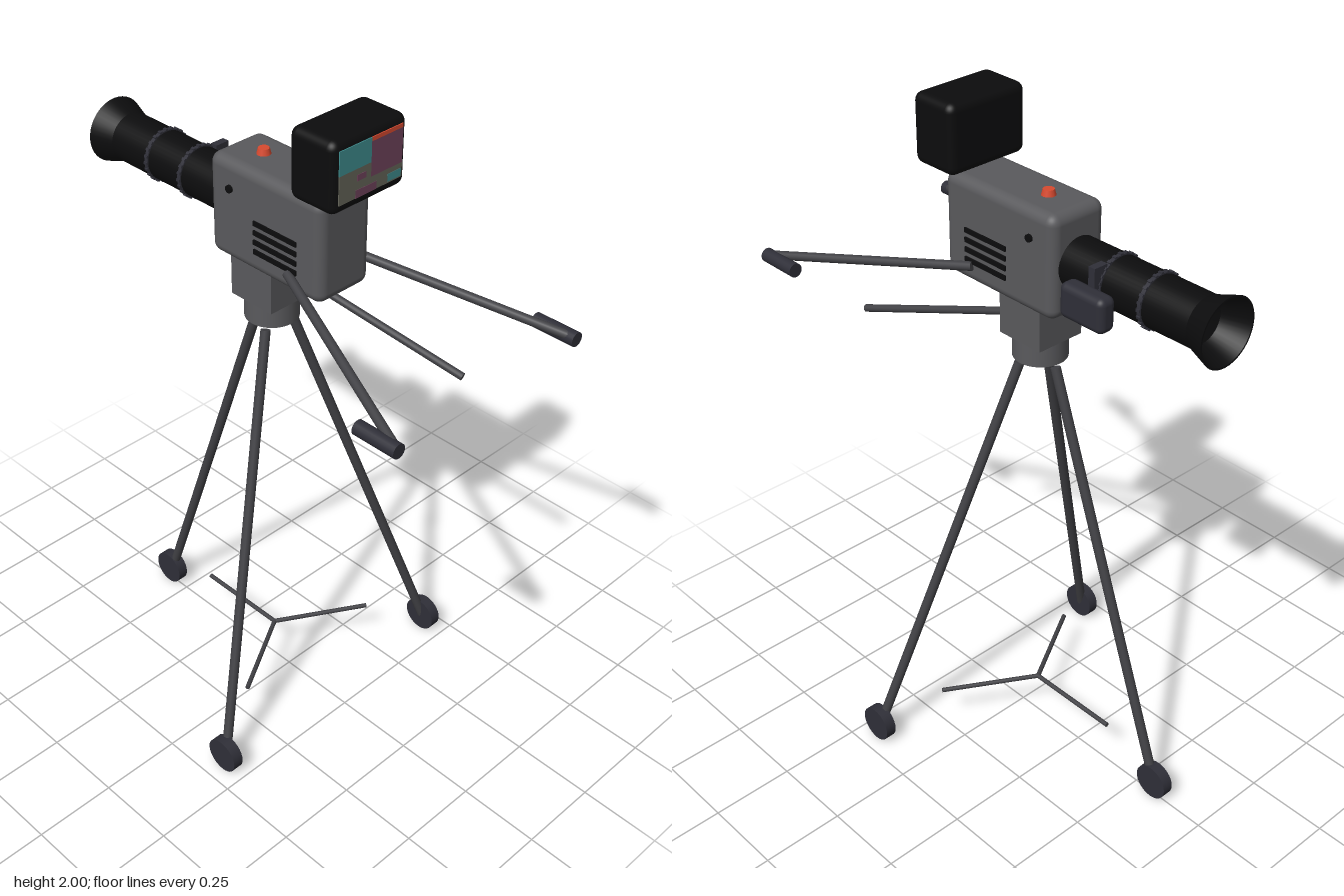
import * as THREE from 'three';
import { RoundedBoxGeometry } from 'three/addons/geometries/RoundedBoxGeometry.js';

const paint = (name, color, side = THREE.FrontSide) => {
  const m = new THREE.MeshStandardMaterial({ color, side });
  m.name = name;
  return m;
};

export function createModel() {
  const root = new THREE.Group();
  root.name = 'studioCamera';

  const grey = paint('bodyGrey', 0x5a5a5d);
  const metal = paint('tubeGrey', 0x414145);
  const rubber = paint('rubber', 0x2f2f38);
  const black = paint('black', 0x0c0c0d, THREE.DoubleSide);
  const red = paint('lampRed', 0xd84a30);
  const teal = paint('screenTeal', 0x3f8e90);
  const plum = paint('screenPlum', 0x70445c);
  const olive = paint('screenOlive', 0x66665a);

  const add = (name, geo, mat, x = 0, y = 0, z = 0, parent = root) => {
    const m = new THREE.Mesh(geo, mat);
    m.name = name;
    m.position.set(x, y, z);
    parent.add(m);
    return m;
  };
  const box = (w, h, d) => new THREE.BoxGeometry(w, h, d);
  // round bar between two points
  const bar = (name, a, b, r, mat) => {
    const p = new THREE.Vector3(...a), q = new THREE.Vector3(...b);
    const d = q.clone().sub(p);
    const m = add(name, new THREE.CylinderGeometry(r, r, d.length(), 16), mat);
    m.position.copy(p).add(q).multiplyScalar(0.5);
    m.quaternion.setFromUnitVectors(new THREE.Vector3(0, 1, 0), d.normalize());
    return m;
  };

  // Camera body, head block and round mount
  add('cameraBody', new RoundedBoxGeometry(0.19, 0.3, 0.42, 4, 0.03), grey, 0, 1.643, 0);
  add('headBlock', box(0.156, 0.13, 0.156), grey, 0, 1.44, -0.068);
  add('headMount', new THREE.CylinderGeometry(0.078, 0.078, 0.07, 32), grey, 0, 1.345, -0.068);

  // Tally lamp on top
  add('tallyLamp', new THREE.CylinderGeometry(0.016, 0.021, 0.02, 12), red, 0, 1.8, -0.095);

  // Side vents and screws
  for (const s of [-1, 1]) {
    for (let i = 0; i < 4; i++) {
      add('vent', box(0.008, 0.014, 0.16), black, s * 0.096, 1.562 + i * 0.0285, 0.045);
    }
    const screw = add('sideScrew', new THREE.CylinderGeometry(0.011, 0.011, 0.012, 12), black,
      s * 0.097, 1.713, -0.125);
    screw.rotation.z = Math.PI / 2;
  }

  // Monitor with a picture made of thin plates
  add('monitor', new RoundedBoxGeometry(0.266, 0.2, 0.155, 4, 0.025), black, 0, 1.9, 0.208);
  const tile = (x0, x1, y0, y1, mat, layer = 0) => add('screenTile',
    box(x1 - x0, y1 - y0, 0.003), mat, (x0 + x1) / 2, (y0 + y1) / 2, 0.2865 + layer * 0.001);
  tile(-0.112, 0, 1.91, 1.977, teal);
  tile(0, 0.112, 1.87, 1.966, plum);
  tile(0, 0.112, 1.966, 1.977, red);
  tile(-0.112, 0, 1.83, 1.91, olive);
  tile(0, 0.112, 1.83, 1.87, olive);
  tile(-0.055, 0.02, 1.83, 1.852, plum, 1);
  tile(0.06, 0.108, 1.834, 1.855, teal, 1);
  tile(-0.05, -0.018, 1.876, 1.893, plum, 1);

  // Lens barrel with open flared hood, turned so that it points back
  const profile = [[0.073, 0.19], [0.073, 0.645], [0.097, 0.715], [0.092, 0.715], [0.06, 0.64], [0.03, 0.63], [0.022, 0.6], [0, 0.6]]
    .map(([r, l]) => new THREE.Vector2(r, l));
  const lens = new THREE.Group();
  lens.name = 'lens';
  lens.position.y = 1.643;
  lens.rotation.x = -Math.PI / 2;
  root.add(lens);
  // separate lathe bands keep the edges crisp
  for (let i = 0; i < profile.length - 1; i++) {
    add('lensBarrel', new THREE.LatheGeometry([profile[i], profile[i + 1]], 40), black, 0, 0, 0, lens);
  }

  // Knurled lens rings
  for (const l of [0.355, 0.493]) {
    add('lensRing', new THREE.CylinderGeometry(0.0765, 0.0765, 0.012, 40), rubber, 0, l, 0, lens);
    for (let i = 0; i < 24; i++) {
      const a = i * Math.PI / 12;
      const tooth = add('ringTooth', box(0.006, 0.012, 0.008), rubber,
        Math.cos(a) * 0.077, l, Math.sin(a) * 0.077, lens);
      tooth.rotation.y = -a;
    }
  }

  // Zoom drive beside the lens
  add('zoomDrive', new RoundedBoxGeometry(0.056, 0.1, 0.154, 4, 0.02), rubber, 0.11, 1.61, -0.35);
  add('zoomBracket', box(0.045, 0.06, 0.022), rubber, 0.07, 1.68, -0.346);

  // Steering handles with grips
  for (const s of [-1, 1]) {
    bar('handleBar', [s * 0.1, 1.55, 0.095], [s * 0.335, 1.44, 0.7], 0.013, metal);
    const grip = add('handleGrip', new THREE.CylinderGeometry(0.021, 0.021, 0.135, 20), rubber,
      s * 0.338, 1.436, 0.648);
    grip.rotation.x = Math.PI / 2;
  }
  bar('panHandle', [0.05, 1.437, -0.01], [0.167, 1.289, 0.488], 0.011, metal);

  // Tripod legs and wheels
  const feet = [[-0.44, 0.18], [0.44, 0.18], [0, -0.57]];
  const tops = [[-0.052, -0.04], [0.052, -0.04], [0, -0.128]];
  feet.forEach(([x, z], i) => {
    bar('tripodLeg', [tops[i][0], 1.29, tops[i][1]], [x, 0.04, z], 0.0145, metal);
    const wheel = add('wheel', new THREE.CylinderGeometry(0.055, 0.055, 0.034, 28), rubber, x, 0.056, z);
    wheel.rotation.z = Math.PI / 2;
  });

  // Floor spreader with three arms
  for (const [x, z] of [[-0.263, 0.087], [0.263, 0.087], [0, -0.37]]) {
    bar('spreaderArm', [0, 0.137, -0.067], [x, 0.137, z], 0.007, metal);
  }

  return root;
}
